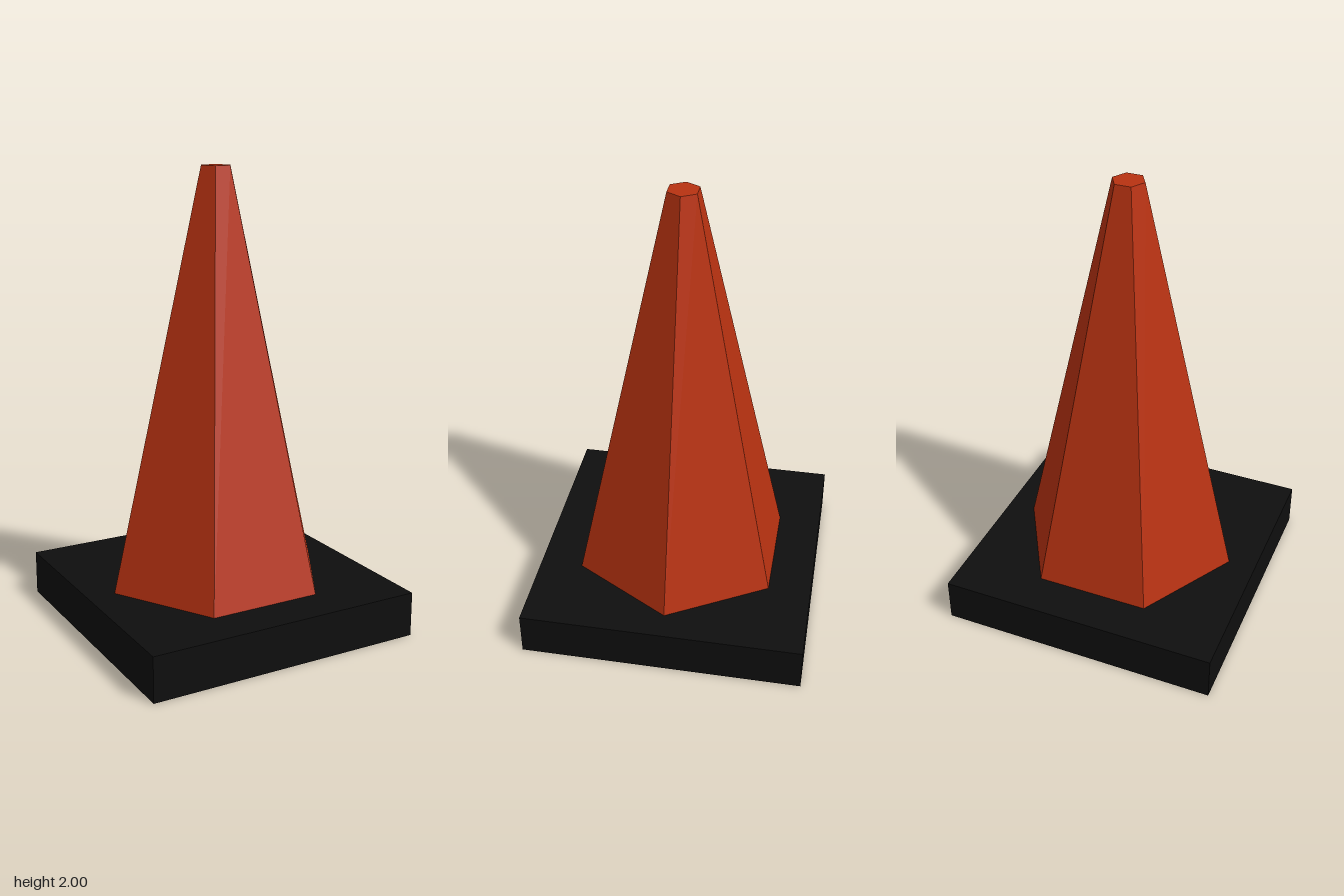
import * as THREE from 'three';

export function createModel() {
  const orange = new THREE.MeshStandardMaterial({ color: 0xb83211 });
  orange.name = 'burntOrange';
  orange.flatShading = true;
  const black = new THREE.MeshStandardMaterial({ color: 0x0e0e0e });
  black.name = 'rubberBlack';

  const model = new THREE.Group();
  model.name = 'trafficCone';

  // Square slab the cone stands on
  const baseHeight = 0.197;
  const base = new THREE.Mesh(new THREE.BoxGeometry(1.246, baseHeight, 1.246), black);
  base.name = 'base';
  base.position.y = baseHeight / 2;
  model.add(base);

  // Six-sided tapering body with a flat tip, corners pointing along x
  const coneHeight = 2 - baseHeight;
  const body = new THREE.Mesh(
    new THREE.CylinderGeometry(0.07, 0.5, coneHeight, 6, 1, false, Math.PI / 2), orange);
  body.name = 'coneBody';
  body.position.y = baseHeight + coneHeight / 2;
  model.add(body);

  return model;
}
